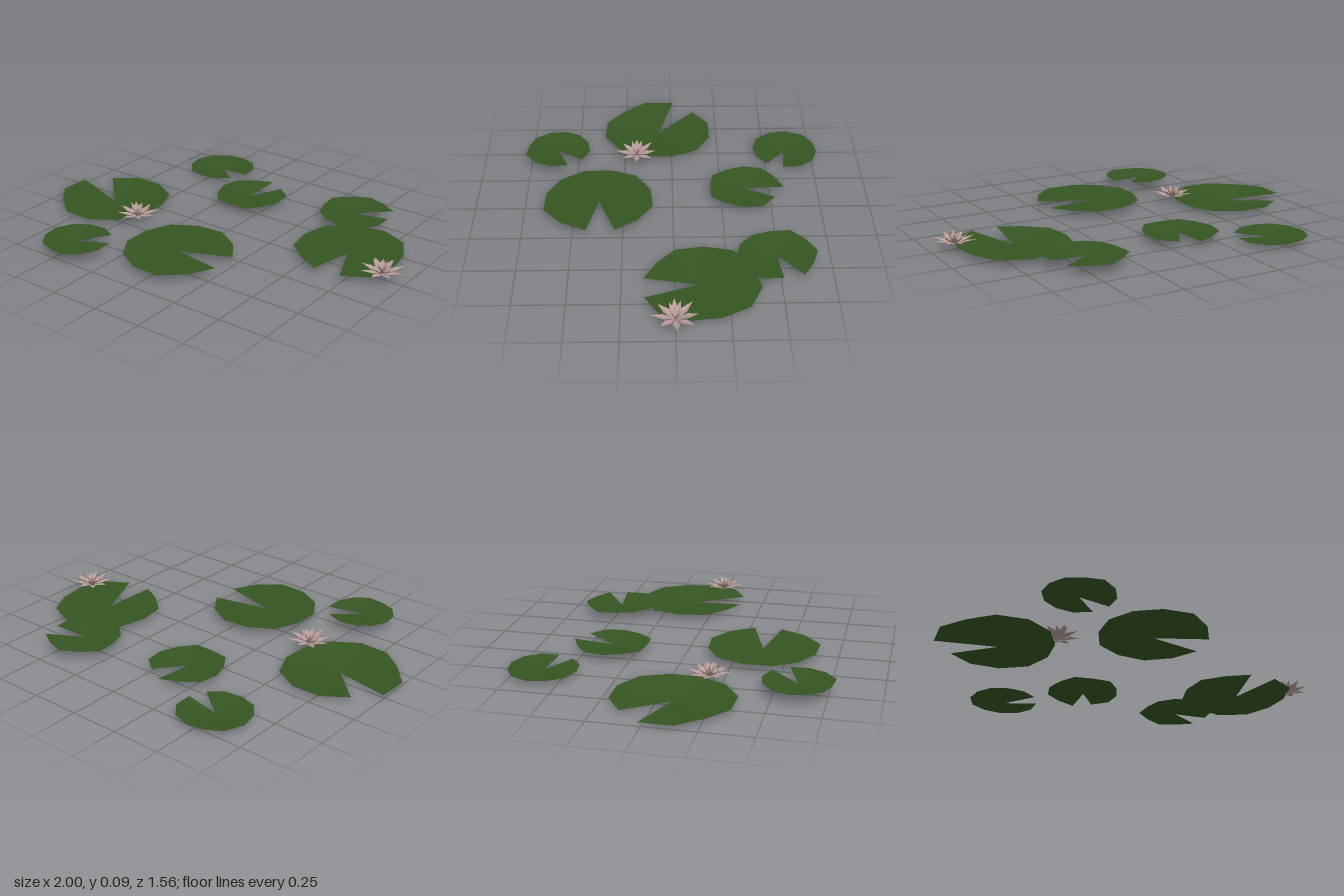
import * as THREE from 'three';

// Indexed points to a flat-shaded mesh
function facetMesh(name, points, faces, material) {
  const geometry = new THREE.BufferGeometry();
  geometry.setAttribute('position', new THREE.Float32BufferAttribute(points.flat(), 3));
  geometry.setIndex(faces.flat());
  const flat = geometry.toNonIndexed();
  flat.computeVertexNormals();
  const mesh = new THREE.Mesh(flat, material);
  mesh.name = name;
  return mesh;
}

// Shallow dish of 11 wedges; the missing twelfth wedge is the notch
function makePad({ name, x, y, z, start, rise, radii }, material) {
  const points = [[0, 0, 0]];
  const faces = [];
  radii.forEach((r, i) => {
    const a = THREE.MathUtils.degToRad(start + i * 30);
    points.push([Math.cos(a) * r, rise, -Math.sin(a) * r]);
    if (i > 0) faces.push([0, i, i + 1]);
  });
  const pad = facetMesh(name, points, faces, material);
  pad.position.set(x, y, z);
  return pad;
}

// Pointed petal along +x, folded along its midrib
function makePetal(length, rise, width, material) {
  const mid = length * 0.5;
  const points = [
    [0, 0, 0],
    [mid, rise * 0.4, 0],
    [length, rise, 0],
    [mid, rise * 0.4 + 0.006, width / 2],
    [mid, rise * 0.4 + 0.006, -width / 2],
  ];
  return facetMesh('petal', points, [[0, 3, 1], [1, 3, 2], [0, 1, 4], [1, 2, 4]], material);
}

function makeFlower(name, x, y, z, turn, material) {
  const flower = new THREE.Group();
  flower.name = name;
  // Rings from the spreading outer petals to the upright inner ones
  const rings = [
    { count: 8, length: 0.11, rise: 0.03, width: 0.036, offset: 0 },
    { count: 8, length: 0.068, rise: 0.05, width: 0.028, offset: 0.5 },
    { count: 6, length: 0.032, rise: 0.061, width: 0.02, offset: 0.2 },
  ];
  for (const { count, length, rise, width, offset } of rings) {
    for (let i = 0; i < count; i++) {
      const vary = 1 + 0.05 * Math.sin(i * 2.4 + turn * 5);
      const petal = makePetal(length * vary, rise * vary, width, material);
      petal.rotation.y = turn + ((i + offset) / count) * Math.PI * 2;
      flower.add(petal);
    }
  }
  flower.position.set(x, y, z);
  return flower;
}

export function createModel() {
  const model = new THREE.Group();
  model.name = 'waterLilies';
  const leafGreen = new THREE.MeshStandardMaterial({ color: 0x365522, side: THREE.DoubleSide, flatShading: true });
  leafGreen.name = 'leafGreen';
  const petalPink = new THREE.MeshStandardMaterial({ color: 0xb89c9a, side: THREE.DoubleSide, flatShading: true });
  petalPink.name = 'petalPink';

  // Floating leaves
  const pads = [
    { name: 'largePadLeft', x: -0.71, y: 0, z: 0.07, start: 164, rise: 0.021,
      radii: [0.305, 0.305, 0.275, 0.295, 0.30, 0.29, 0.275, 0.28, 0.295, 0.29, 0.285, 0.27] },
    { name: 'largePadFront', x: -0.025, y: 0.024, z: 0.375, start: 18, rise: 0.014,
      radii: [0.275, 0.27, 0.28, 0.275, 0.28, 0.265, 0.27, 0.27, 0.275, 0.29, 0.27, 0.27] },
    { name: 'largePadRight', x: 0.635, y: 0.016, z: -0.107, start: -67, rise: 0.016,
      radii: [0.27, 0.29, 0.27, 0.27, 0.295, 0.30, 0.285, 0.295, 0.27, 0.265, 0.24, 0.255] },
    { name: 'smallPadBackLeft', x: -0.495, y: 0.011, z: -0.61, start: -7, rise: 0.014,
      radii: [0.17, 0.18, 0.18, 0.175, 0.175, 0.185, 0.185, 0.18, 0.18, 0.17, 0.17, 0.17] },
    { name: 'smallPadBackMiddle', x: -0.13, y: 0.024, z: -0.37, start: 88, rise: 0.013,
      radii: [0.205, 0.185, 0.195, 0.185, 0.175, 0.19, 0.175, 0.195, 0.18, 0.185, 0.195, 0.18] },
    { name: 'smallPadBackRight', x: 0.447, y: 0.036, z: -0.487, start: 36, rise: 0.013,
      radii: [0.20, 0.185, 0.20, 0.185, 0.20, 0.175, 0.18, 0.185, 0.195, 0.20, 0.205, 0.185] },
    { name: 'smallPadFrontLeft', x: -0.478, y: 0.041, z: 0.61, start: 50, rise: 0.013,
      radii: [0.175, 0.175, 0.17, 0.17, 0.17, 0.165, 0.165, 0.16, 0.18, 0.175, 0.175, 0.175] },
  ];
  for (const pad of pads) model.add(makePad(pad, leafGreen));

  // Blossoms
  model.add(makeFlower('flowerRight', 0.887, 0.028, 0, 0.05, petalPink));
  model.add(makeFlower('flowerLeft', -0.445, 0.028, 0.187, 0.0, petalPink));
  return model;
}
